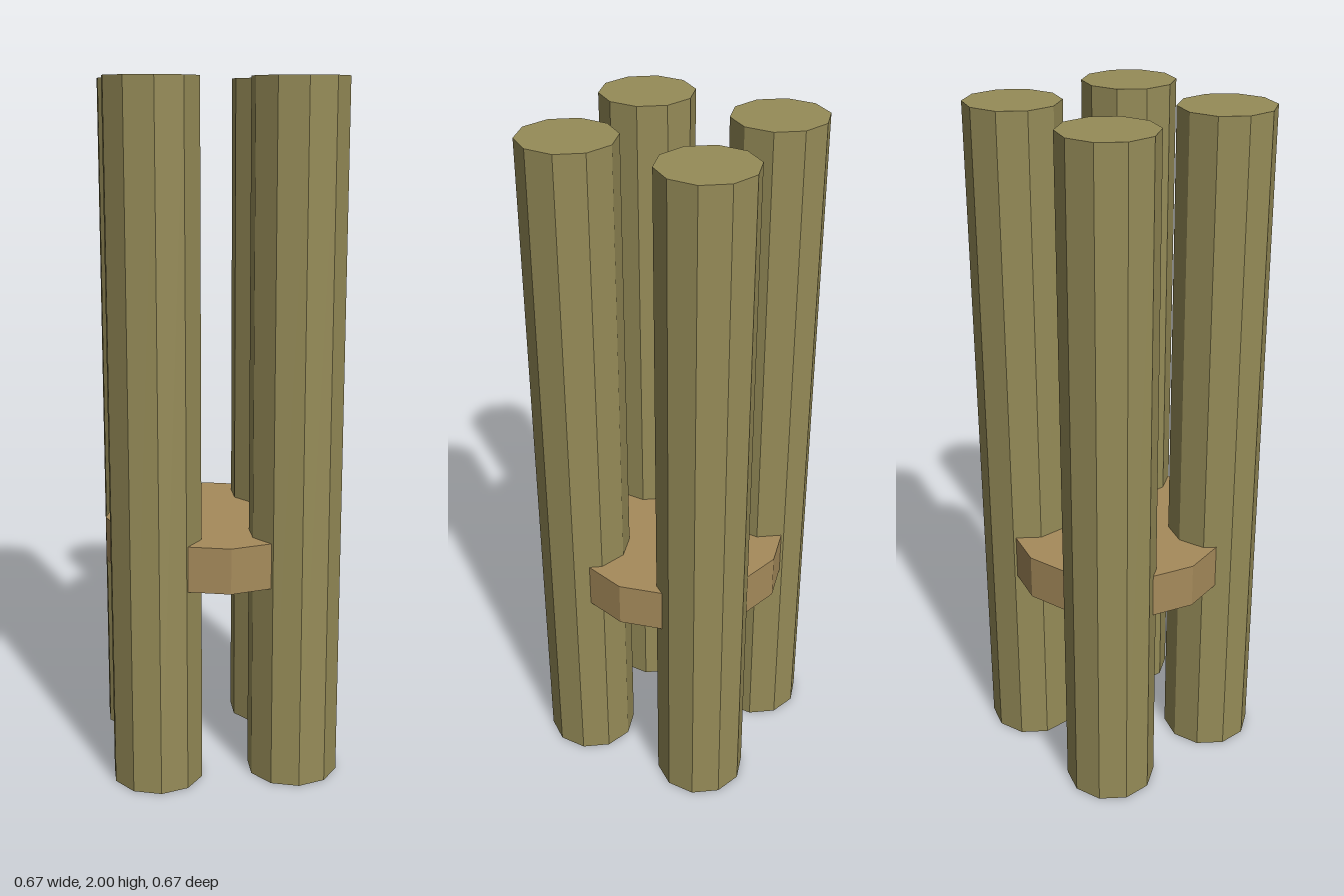
import * as THREE from 'three';

export function createModel() {
  const group = new THREE.Group();
  const poleMaterial = new THREE.MeshStandardMaterial({ color: 0x968c58, flatShading: true });
  const discMaterial = new THREE.MeshStandardMaterial({ color: 0xa68b5b, flatShading: true });

  // Four ten-sided poles standing in a square
  const poleGeometry = new THREE.CylinderGeometry(0.1333, 0.1333, 2, 10);
  for (const [depth, z] of [['front', 0.2], ['back', -0.2]]) {
    for (const [side, x] of [['Left', 0.2], ['Right', -0.2]]) {
      const pole = new THREE.Mesh(poleGeometry, poleMaterial);
      pole.name = `${depth}${side}Pole`;
      pole.position.set(x, 1, z);
      group.add(pole);
    }
  }

  // Twelve-sided disc that ties the poles together
  const disc = new THREE.Mesh(new THREE.CylinderGeometry(0.3333, 0.3333, 0.1333, 12), discMaterial);
  disc.name = 'connectingDisc';
  disc.position.y = 0.6667;
  group.add(disc);

  return group;
}
